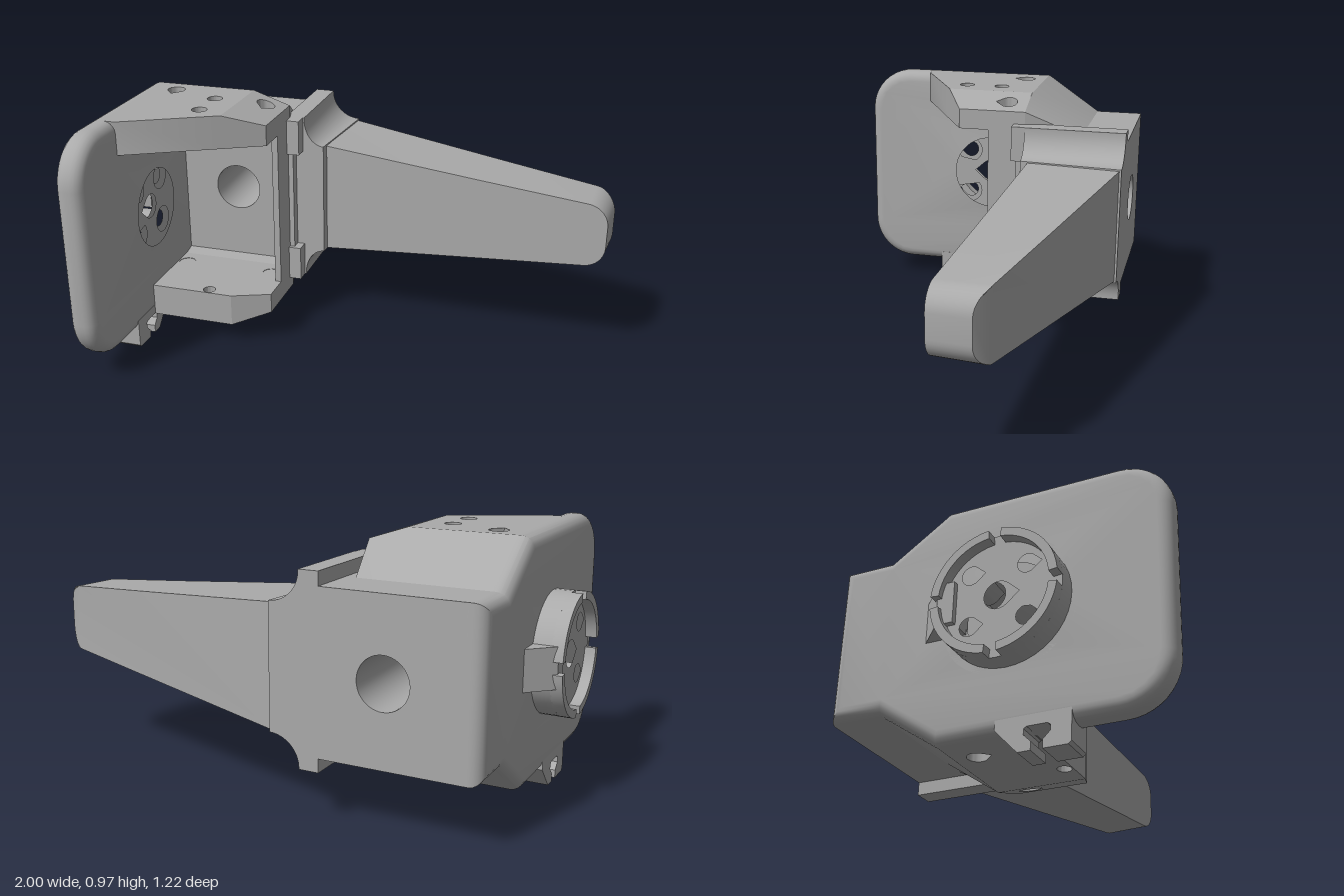
import * as THREE from 'three';
import { toCreasedNormals } from 'three/addons/utils/BufferGeometryUtils.js';

const MID = 0.525; // height of the horizontal symmetry plane

export function createModel() {
  const model = new THREE.Group();
  const grey = new THREE.MeshStandardMaterial({ color: 0xaaaaaa });
  grey.name = 'plain grey';

  const add = (name, geo) => {
    const mesh = new THREE.Mesh(toCreasedNormals(geo, 0.55), grey);
    mesh.name = name;
    model.add(mesh);
    return mesh;
  };

  // ---- outline helpers: all outlines are lists of [a, b] points ----
  const arc = (a, b, r, from, to, n = 32) => Array.from({ length: n + 1 }, (_, i) => {
    const t = from + (to - from) * i / n;
    return [a + r * Math.cos(t), b + r * Math.sin(t)];
  });
  const circle = (a, b, r) => arc(a, b, r, 0, Math.PI * 2 * 39 / 40, 39);
  // Teardrop with its point towards +a or +b
  const drop = (a, b, r, dir = 0) => [
    ...arc(a, b, r, dir + 0.84, dir + Math.PI * 2 - 0.84, 20),
    [a + 1.5 * r * Math.cos(dir), b + 1.5 * r * Math.sin(dir)],
  ];
  const extrude = (outline, holes, depth, sa, sb, opts = {}) => {
    const vec = (pts) => pts.map(([a, b]) => new THREE.Vector2(a * sa, b * sb));
    const shape = new THREE.Shape(vec(outline));
    shape.holes = holes.map((h) => new THREE.Path(vec(h)));
    return new THREE.ExtrudeGeometry(shape, { depth, bevelEnabled: false, ...opts });
  };
  // Extrusions along each axis; outlines are (z,y), (x,z) and (x,y)
  const alongX = (pts, holes, x0, x1) =>
    extrude(pts, holes, x1 - x0, -1, 1).rotateY(Math.PI / 2).translate(x0, 0, 0);
  const alongY = (pts, holes, y0, y1) =>
    extrude(pts, holes, y1 - y0, 1, -1).rotateX(-Math.PI / 2).translate(0, y0, 0);
  const alongZ = (pts, holes, z0, z1) =>
    extrude(pts, holes, z1 - z0, 1, 1).translate(0, 0, z0);
  // Move every vertex by a rule
  const warp = (geo, rule) => {
    const p = geo.attributes.position;
    const v = new THREE.Vector3();
    for (let i = 0; i < p.count; i++) {
      rule(v.fromBufferAttribute(p, i));
      p.setXYZ(i, v.x, v.y, v.z);
    }
    geo.computeVertexNormals();
    return geo;
  };
  // Mirror top to bottom, reversing the corner order of each face
  const flip = (geo) => {
    const g = geo.index ? geo.toNonIndexed() : geo;
    g.scale(1, -1, 1).translate(0, 2 * MID, 0);
    const p = g.attributes.position;
    const a = new THREE.Vector3(), b = new THREE.Vector3();
    for (let i = 0; i < p.count; i += 3) {
      a.fromBufferAttribute(p, i + 1);
      b.fromBufferAttribute(p, i + 2);
      p.setXYZ(i + 1, b.x, b.y, b.z);
      p.setXYZ(i + 2, a.x, a.y, a.z);
    }
    g.computeVertexNormals();
    return g;
  };
  const box = (x0, x1, y0, y1, z0, z1) => new THREE.BoxGeometry(x1 - x0, y1 - y0, z1 - z0)
    .translate((x0 + x1) / 2, (y0 + y1) / 2, (z0 + z1) / 2);

  // ---- side plate with rounded rim ----
  const H = Math.PI / 2;
  const plate = [
    [-0.61, 0.23], [-0.42, 0.23], [-0.2, 0.08],
    ...arc(0.43, 0.26, 0.18, -H, 0, 10),
    ...arc(0.43, 0.79, 0.18, 0, H, 10),
    [-0.2, 0.97], [-0.42, 0.82], [-0.61, 0.82],
  ];
  const bevel = 0.045;
  add('sidePlate', extrude(plate, [circle(0.05, MID, 0.205)], 0.11 - 2 * bevel, -1, 1, {
    bevelEnabled: true, bevelThickness: bevel, bevelSize: bevel, bevelOffset: -bevel, bevelSegments: 5,
  }).rotateY(H).translate(-0.89 + bevel, 0, 0));

  // ---- round mount through the plate ----
  const centres = [[0.15, 0.62], [-0.05, 0.62], [0.15, 0.43], [-0.05, 0.43]];
  const hub = drop(0.05, MID, 0.05);
  add('mountDisc', alongX(circle(0.05, MID, 0.225),
    [hub, ...centres.map(([z, y]) => drop(z, y, 0.034))], -0.96, -0.825));
  add('mountFace', alongX(circle(0.05, MID, 0.25),
    [hub, ...centres.map(([z, y]) => circle(z, y, 0.054))], -0.825, -0.808));
  add('mountCollar', alongX(circle(0.05, MID, 0.25), [circle(0.05, MID, 0.22)], -0.89, -0.825));
  for (let i = 0; i < 4; i++) {
    const a = i * H + 0.1, b = (i + 1) * H - 0.1;
    add('mountRim', alongX([...arc(0.05, MID, 0.225, a, b, 12), ...arc(0.05, MID, 0.195, b, a, 12)],
      [], -1, -0.955));
  }
  add('cableBlock', alongY([[-0.98, -0.1], [-0.98, -0.16], [-0.88, -0.26], [-0.88, -0.1]],
    [], 0.45, 0.6));

  // ---- clip tab with keyhole slot under the plate ----
  add('clipTab', alongX([
    [0.28, 0.12], [0.28, 0.01], [0.27, 0], [0.185, 0], [0.185, 0.03], [0.21, 0.055], [0.21, 0.075],
    [0.2, 0.082], [0.13, 0.082], [0.12, 0.075], [0.12, 0.055], [0.145, 0.03], [0.145, 0],
    [0.1, 0], [0.02, 0.085], [0.02, 0.12],
  ], [], -0.89, -0.78));

  // ---- roof and floor: flat slab, sloped outer edge, sloped rear ----
  const slab = (name, isFloor) => {
    const put = (part, geo) => add(name + part, isFloor ? flip(geo) : geo);
    const [zIn, zSplit] = isFloor ? [0.13, 0.13] : [0.33, 0.15];
    const holes = [drop(-0.74, -0.12, 0.035, H), circle(-0.545, 0.1, isFloor ? 0.025 : 0.03)];
    if (!isFloor) holes.push(circle(-0.545, -0.05, 0.03));
    put('Slab', alongY([[-0.84, zIn], [-0.78, zIn], [-0.44, zSplit], [-0.44, -0.2], [-0.84, -0.2]],
      holes, 0.84, 0.97));
    put('Edge', warp(alongY([[-0.44, zSplit], [-0.29, 0.07], [-0.29, -0.2], [-0.44, -0.2]],
      [drop(-0.36, -0.12, 0.035, H)], 0.84, 0.97),
    (v) => { if (v.y > 0.9) v.y -= (v.x + 0.44) / 3; }));
    put('Rear', warp(alongZ([[-0.84, 0.79], [-0.29, 0.79], [-0.29, 0.92], [-0.44, 0.97], [-0.84, 0.97]],
      [], -0.42, -0.2),
    (v) => {
      if (v.z < -0.3) {
        v.y = Math.min(v.y, 0.82);
        if (v.x > -0.3) v.x = -0.35;
      } else v.y = Math.max(v.y, 0.84);
    }));
    // Closed bottoms of the screw pockets
    for (const x of [-0.74, -0.36]) {
      put('PocketEnd', alongY(circle(x, -0.11, 0.055), [], 0.842, 0.86));
    }
  };
  slab('roof', false);
  slab('floor', true);

  // ---- thick rear block with a bore, and thin outer wall ----
  add('rearBlock', alongZ([[-0.84, 0.23], [-0.3, 0.23], [-0.3, 0.82], [-0.84, 0.82]],
    [circle(-0.545, MID, 0.095)], -0.61, -0.25));
  add('cavityBack', alongZ([[-0.84, 0.18], [-0.3, 0.18], [-0.3, 0.87], [-0.84, 0.87]],
    [circle(-0.545, MID, 0.095)], -0.26, -0.25));
  add('outerWall', box(-0.315, -0.29, 0.17, 0.845, -0.3, -0.05));

  // ---- flange with concave fillets into the arm ----
  const fillet = arc(-0.125, 0.865, 0.11, Math.PI, Math.PI * 1.5, 10);
  const upper = [[-0.31, 0.87], [-0.235, 0.87], ...fillet];
  const lower = upper.map(([x, y]) => [x, 2 * MID - y]).reverse();
  add('flange', warp(alongZ([...upper, ...lower], [], -0.61, -0.21),
    (v) => {
      const k = Math.max(0, (v.x + 0.235) / 0.11);
      v.x += v.z < -0.4 ? 0.005 * k : -0.03 * k;
    }));
  const lip = () => box(-0.3, -0.24, 0.73, 0.87, -0.22, -0.155);
  add('flangeLip', lip());
  add('flangeLip', flip(lip()));
  add('flangeWeb', box(-0.3, -0.27, 0.29, 0.76, -0.25, -0.17));

  // ---- long tapering arm with a rounded tip ----
  const arm = [
    [-0.15, 0.3], [0.5, 0.362],
    ...arc(0.9, 0.485, 0.085, -H + 0.1, 0, 8),
    ...arc(0.9, 0.57, 0.085, 0, H - 0.1, 8),
    [0.5, 0.69], [-0.15, 0.75],
  ];
  add('arm', warp(alongZ(arm, [], 0, 1), (v) => {
    const t = (v.x + 0.15) / 1.14;
    if (v.z > 0.5) v.z = -0.24 + 0.09 * t;
    else {
      v.z = -0.605 + 0.275 * t + Math.max(0, v.x - 0.93) * 0.5;
      v.x += 0.015;
      v.y = MID + (v.y - MID) * (1 + 0.03 * t);
    }
  }));

  return model;
}
